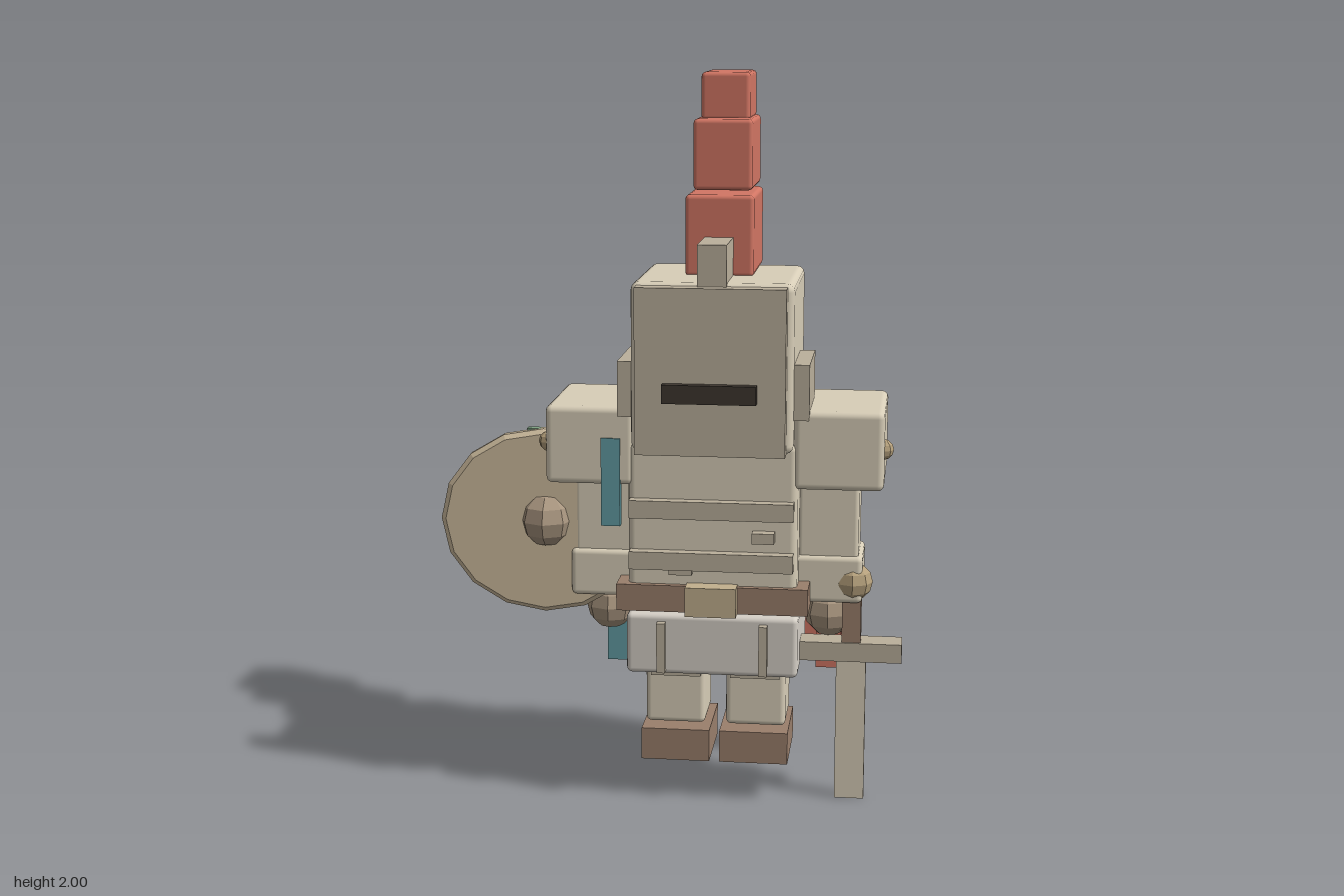
import * as THREE from 'three';
import { RoundedBoxGeometry } from 'three/addons/geometries/RoundedBoxGeometry.js';

const MID = 0.127; // the body's own mirror plane

const material = (color, flatShading = false) => {
  const m = new THREE.MeshStandardMaterial({ color });
  m.flatShading = flatShading;
  return m;
};
const mats = {
  cream: material(0xd8ceb8), stone: material(0xbbb09c), brown: material(0x9a7f6c),
  red: material(0xd27664), teal: material(0x629ca3), cloth: material(0xd6d0c7),
  wood: material(0xcfbd9f, true), dark: material(0x3d362f), hand: material(0xa8957f, true),
  brass: material(0xc2b08e), stud: material(0xb5a07c, true), green: material(0x7fa283),
};

export function createModel() {
  const root = new THREE.Group();
  root.name = 'knight';

  const add = (name, geometry, mat, parent = root) => {
    const mesh = new THREE.Mesh(geometry, mats[mat]);
    mesh.name = name;
    parent.add(mesh);
    return mesh;
  };
  // Box given by its limits; r > 0 rounds the edges
  const box = (name, mat, [x0, x1], [y0, y1], [z0, z1], r = 0, parent = root) => {
    const size = [x1 - x0, y1 - y0, z1 - z0];
    const geo = r ? new RoundedBoxGeometry(...size, 2, r) : new THREE.BoxGeometry(...size);
    const mesh = add(name, geo, mat, parent);
    mesh.position.set((x0 + x1) / 2, (y0 + y1) / 2, (z0 + z1) / 2);
    return mesh;
  };
  const ball = (name, mat, r, x, y, z, parent = root) => {
    const mesh = add(name, new THREE.SphereGeometry(r, 8, 6), mat, parent);
    mesh.position.set(x, y, z);
    return mesh;
  };
  const group = (name) => {
    const g = new THREE.Group();
    g.name = name;
    root.add(g);
    return g;
  };

  // Helmet
  const helmet = group('helmet');
  box('head', 'cream', [-0.092, 0.343], [1.01, 1.465], [-0.195, 0.238], 0.022, helmet);
  box('facePlate', 'stone', [-0.075, 0.325], [1.01, 1.457], [0.2, 0.28], 0, helmet);
  box('eyeSlit', 'dark', [0, 0.25], [1.155, 1.205], [0.27, 0.307], 0, helmet);
  box('helmetRidge', 'stone', [0.087, 0.165], [1.44, 1.567], [-0.02, 0.245], 0, helmet);

  // Stepped plume leaning back
  const plume = group('plume');
  [
    [0.093, 1.46, 1.68, -0.238, 0.063],
    [0.081, 1.685, 1.877, -0.29, -0.02],
    [0.067, 1.87, 2.0, -0.307, -0.09],
  ].forEach(([w, y0, y1, z0, z1], i) =>
    box(`plumeBlock${i + 1}`, 'red', [MID - w, MID + w], [y0, y1], [z0, z1], 0.012, plume));

  // Torso with chest bands
  const torso = group('torso');
  box('chest', 'cream', [-0.105, 0.355], [0.58, 1.03], [-0.155, 0.2], 0.02, torso);
  for (const y of [0.683, 0.825])
    box('chestBand', 'stone', [-0.098, 0.346], [y, y + 0.049], [0.19, 0.233], 0, torso);
  box('chestClasp', 'stone', [0.235, 0.295], [0.763, 0.792], [0.19, 0.233], 0, torso);
  box('lowerClasp', 'stone', [0.01, 0.072], [0.668, 0.69], [0.19, 0.225], 0, torso);

  // Belt and skirt
  box('belt', 'brown', [-0.135, 0.387], [0.562, 0.636], [-0.163, 0.218]);
  box('buckle', 'brass', [0.057, 0.195], [0.56, 0.641], [0.2, 0.253]);
  box('skirt', 'cloth', [-0.11, 0.36], [0.38, 0.55], [-0.153, 0.204], 0.015);

  // Paired parts, mirrored about the body's middle
  for (const s of [-1, 1]) {
    const side = group(s < 0 ? 'rightSide' : 'leftSide');
    const pair = (name, mat, a, b, y, z, r = 0) =>
      box(name, mat, s < 0 ? [MID - b, MID - a] : [MID + a, MID + b], y, z, r, side);

    pair('earPlate', 'stone', 0.2, 0.257, [1.1, 1.25], [-0.03, 0.217]);
    pair('shoulder', 'cream', 0.215, 0.457, [0.907, 1.122], [-0.155, 0.2], 0.018);
    ball('shoulderStud', 'stud', 0.028, MID + s * 0.453, 1.017, 0.16, side);
    pair('arm', 'cream', 0.225, 0.39, [0.68, 0.93], [-0.063, 0.115], 0.012);
    pair('cuff', 'cream', 0.215, 0.402, [0.575, 0.707], [-0.073, 0.127], 0.015);
    ball('hand', 'hand', 0.07, MID + s * 0.307, 0.522, 0.015, side);
    pair('skirtStrap', 'stone', 0.128, 0.151, [0.39, 0.53], [0.195, 0.228]);
    pair('leg', 'cream', 0.029, 0.195, [0.21, 0.39], [-0.063, 0.115], 0.015);
    pair('thighBand', 'stone', 0.041, 0.179, [0.35, 0.39], [0.08, 0.125]);
    pair('boot', 'brown', 0.014, 0.204, [0.11, 0.2], [-0.09, 0.143]);
  }
  box('shoulderRibbon', 'teal', [-0.177, -0.125], [0.795, 1.037], [0.18, 0.206]);

  // Cape with lining and two hanging corners
  const cape = group('cape');
  box('capeOuter', 'teal', [-0.22, 0.472], [0.365, 1.055], [-0.257, -0.2], 0, cape);
  box('capeLining', 'red', [-0.19, 0.445], [0.38, 1.04], [-0.2, -0.175], 0, cape);
  box('capeCornerRight', 'teal', [-0.22, -0.138], [0.295, 0.57], [-0.222, -0.17], 0, cape);
  box('capeCornerLeft', 'red', [0.39, 0.462], [0.295, 0.57], [-0.222, -0.17], 0, cape);

  // Round shield: a disc with a bevelled rim, boss and inner strap
  const shield = group('shield');
  const rim = [[0, -0.024], [0.95, -0.024], [1, -0.012], [1, 0.012], [0.95, 0.024], [0, 0.024]]
    .map(([r, y]) => new THREE.Vector2(r, y));
  const disc = new THREE.LatheGeometry(rim, 16);
  disc.scale(0.292, 1, 0.26);
  disc.rotateX(Math.PI / 2);
  add('shieldDisc', disc, 'wood', shield).position.set(-0.352, 0.778, 0.089);
  ball('shieldBoss', 'hand', 0.077, -0.347, 0.78, 0.08, shield).scale.z = 1.18;
  box('shieldStrap', 'green', [-0.4, -0.347], [0.522, 1.036], [0.067, 0.09], 0, shield);

  // Sword pointing down from the left hand
  const sword = group('sword');
  ball('pommel', 'stud', 0.054, 0.503, 0.63, 0.09, sword);
  box('grip', 'brown', [0.475, 0.527], [0.45, 0.6], [0.055, 0.11], 0, sword);
  box('crossGuard', 'stone', [0.357, 0.64], [0.407, 0.46], [0.04, 0.117], 0, sword);
  box('blade', 'cream', [0.46, 0.542], [0, 0.42], [0.067, 0.092], 0, sword);

  return root;
}
